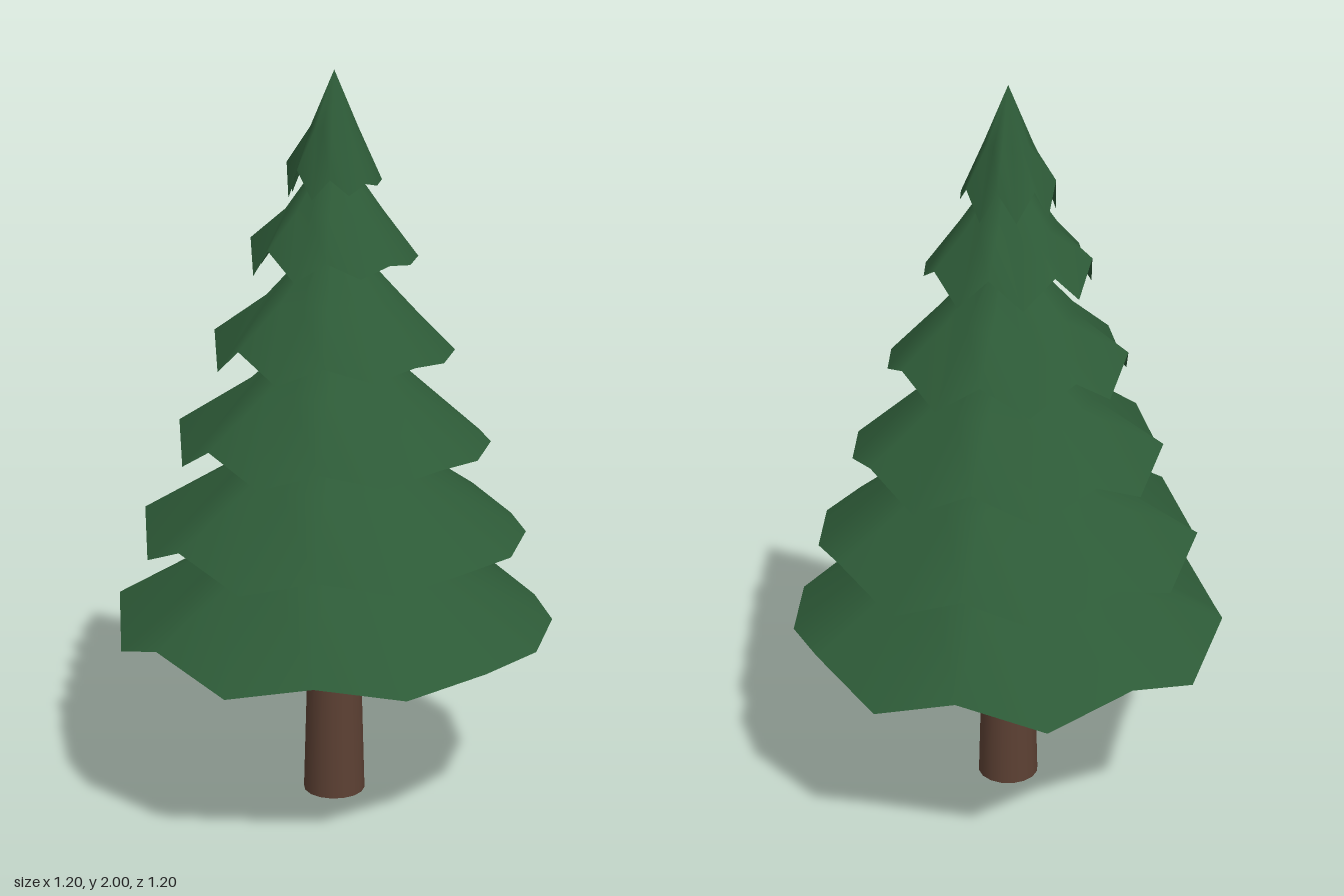
import * as THREE from 'three';
import { mergeVertices } from 'three/addons/utils/BufferGeometryUtils.js';

const SIDES = 16;

// Droop of each rim corner, counted from +x towards +z
const RIM = [
  -0.005, 0.004, -0.007, 0.002, -0.026, 0.015, -0.038, 0.035,
  -0.042, 0.047, -0.039, 0.037, -0.04, 0.04, -0.044, 0.033,
];

// Branch tiers: [rim radius, rim height, top radius, top height]
const TIERS = [
  [0.6, 0.515, 0.055, 0.885],
  [0.522, 0.765, 0.05, 1.115],
  [0.422, 1.015, 0.045, 1.34],
  [0.322, 1.265, 0.04, 1.56],
  [0.222, 1.515, 0.035, 1.77],
  [0.125, 1.715, 0, 2],
];

// Open cone skirt with a jagged lower rim
function tierGeometry([rimR, rimY, topR, topY]) {
  const profile = [
    new THREE.Vector2(rimR, rimY),
    new THREE.Vector2((rimR + topR) / 2, rimY + (topY - rimY) * 0.49),
    new THREE.Vector2(topR, topY),
  ];
  let geo = new THREE.LatheGeometry(profile, SIDES);
  const pos = geo.attributes.position;
  for (let i = 0; i < pos.count; i += profile.length) {
    const angle = Math.atan2(pos.getZ(i), pos.getX(i));
    const corner = (Math.round((angle / (2 * Math.PI)) * SIDES) + SIDES) % SIDES;
    pos.setY(i, rimY + RIM[corner]);
  }
  // Weld the seam so the shading runs smoothly all round
  geo.deleteAttribute('uv');
  geo.deleteAttribute('normal');
  geo = mergeVertices(geo, 1e-5);
  geo.computeVertexNormals();
  return geo;
}

export function createModel() {
  const bark = new THREE.MeshStandardMaterial({ color: 0x5c4033 });
  bark.name = 'bark brown';
  const needles = new THREE.MeshStandardMaterial({ color: 0x2d5a37, side: THREE.DoubleSide });
  needles.name = 'needle green';

  const tree = new THREE.Group();
  tree.name = 'firTree';

  // Tapered trunk running up through the tiers
  const trunk = new THREE.Mesh(new THREE.CylinderGeometry(0.034, 0.086, 1.75, SIDES), bark);
  trunk.position.y = 0.875;
  trunk.name = 'trunk';
  tree.add(trunk);

  // Stacked branch tiers
  TIERS.forEach((tier, i) => {
    const mesh = new THREE.Mesh(tierGeometry(tier), needles);
    mesh.name = `branchTier${i + 1}`;
    tree.add(mesh);
  });

  return tree;
}
